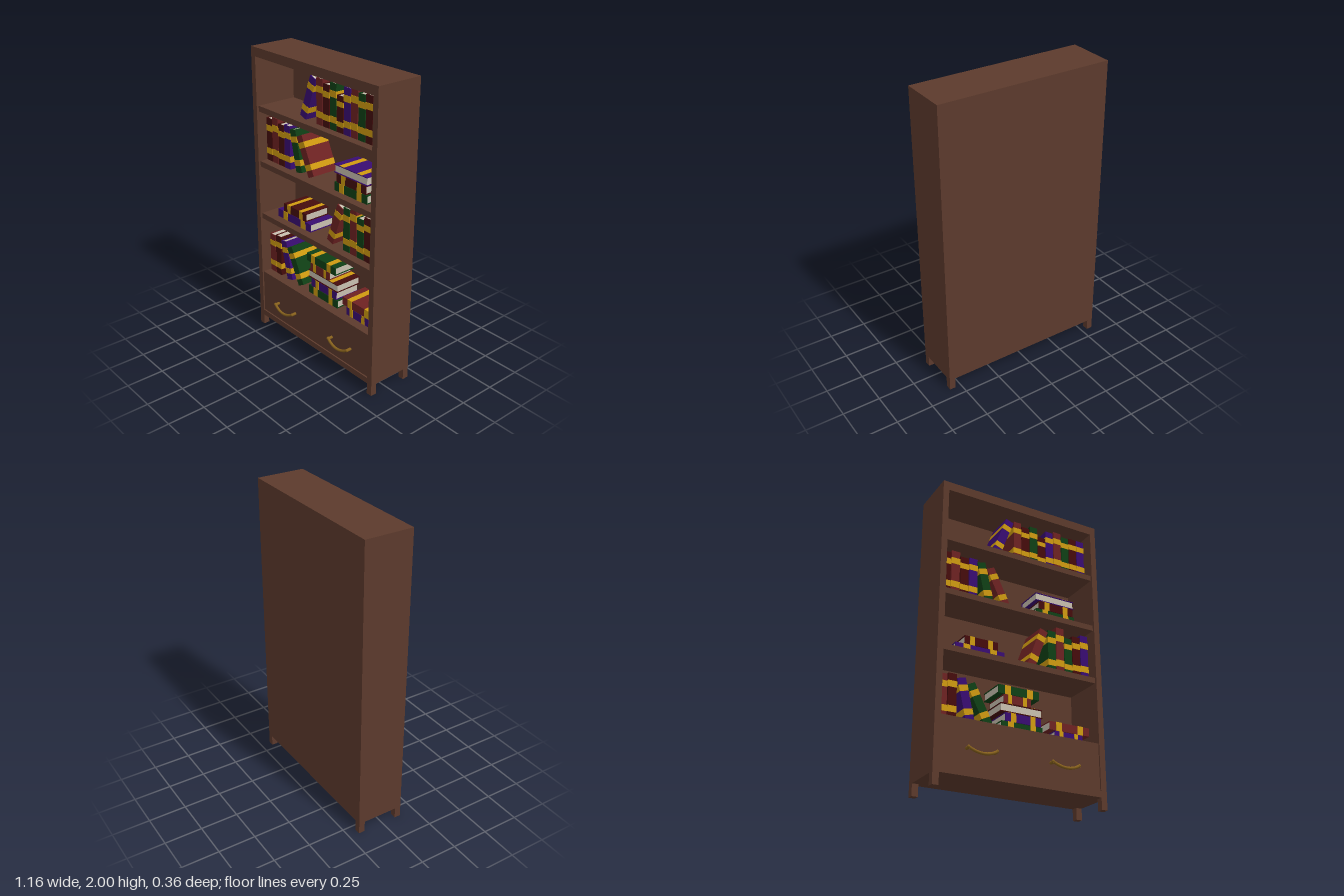
import * as THREE from 'three';
import { mergeGeometries } from 'three/addons/utils/BufferGeometryUtils.js';

const mat = (name, color, side = THREE.FrontSide) => {
  const m = new THREE.MeshStandardMaterial({ color, side });
  m.name = name;
  return m;
};

// Box geometry given by its lower and upper corners
const block = (x0, x1, y0, y1, z0, z1) =>
  new THREE.BoxGeometry(x1 - x0, y1 - y0, z1 - z0)
    .translate((x0 + x1) / 2, (y0 + y1) / 2, (z0 + z1) / 2);

export function createModel() {
  const root = new THREE.Group();
  root.name = 'bookcase';
  const M = {
    wood: mat('wood', 0x5c3a2c),
    red: mat('red cover', 0x6e2222),
    maroon: mat('maroon cover', 0x450c0c),
    green: mat('green cover', 0x0f3f15),
    purple: mat('purple cover', 0x390c72),
    gold: mat('gold band', 0xcf9a10),
    pages: mat('paper', 0xc8c0b0),
    brass: mat('brass', 0x86601c),
  };
  const add = (parent, name, geo, m) => {
    const mesh = new THREE.Mesh(geo, m);
    mesh.name = name;
    parent.add(mesh);
    return mesh;
  };

  // Case
  const W = 0.58, IN = 0.54, ZB = -0.18, ZF = 0.14;
  for (const s of [-1, 1]) {
    const a = Math.min(s * W, s * IN), b = Math.max(s * W, s * IN);
    add(root, s > 0 ? 'leftSide' : 'rightSide', block(a, b, 0.075, 2, ZB, ZF), M.wood);
    add(root, 'frontLeg', block(a, b, 0, 0.075, ZF - 0.042, ZF), M.wood);
    add(root, 'backLeg', block(a, b, 0, 0.075, ZB, ZB + 0.042), M.wood);
  }
  add(root, 'top', block(-IN, IN, 1.94, 2, ZB, ZF), M.wood);
  add(root, 'back', block(-IN, IN, 0.075, 1.94, ZB, ZB + 0.02), M.wood);
  add(root, 'bottomRail', block(-IN, IN, 0.075, 0.115, ZB + 0.02, ZF), M.wood);
  add(root, 'drawer', block(-IN, IN, 0.115, 0.42, ZB + 0.02, 0.13), M.wood);
  for (const y of [0.865, 1.24, 1.618])
    add(root, 'shelf', block(-IN, IN, y - 0.038, y, ZB + 0.02, 0.125), M.wood);

  // Drawer handles: two short posts and a drooping bow
  for (const cx of [-0.28, 0.28]) {
    const handle = new THREE.Group();
    handle.name = 'handle';
    handle.position.set(cx, 0.24, 0);
    root.add(handle);
    for (const s of [-1, 1])
      add(handle, 'handlePost', new THREE.CylinderGeometry(0.01, 0.01, 0.04, 12)
        .rotateX(Math.PI / 2).translate(s * 0.09, 0, 0.145), M.brass);
    const pts = [];
    for (let i = 0; i <= 8; i++) {
      const u = i / 4 - 1, sag = 1 - u * u;
      pts.push(new THREE.Vector3(u * 0.094, 0.003 - 0.03 * sag, 0.16 + 0.009 * sag));
    }
    add(handle, 'handleBow',
      new THREE.TubeGeometry(new THREE.CatmullRomCurve3(pts), 24, 0.009, 10), M.brass);
    for (const s of [-1, 1])
      add(handle, 'handleEnd', new THREE.SphereGeometry(0.0105, 12, 8)
        .translate(s * 0.092, 0.002, 0.161), M.brass);
  }

  // Upright book with its base centred on the origin and its spine facing +z
  function book(color, t, h, d = 0.19) {
    const g = new THREE.Group(), x = t / 2, z = d / 2, c = 0.005, e = 0.0015;
    g.name = 'book';
    add(g, 'cover', mergeGeometries([
      block(-x, -x + c, 0, h, -z, z),
      block(x - c, x, 0, h, -z, z),
      block(-x + c, x - c, 0, h, z - c, z),
    ]), M[color]);
    add(g, 'pages', block(-x + c, x - c, 0.005, h - 0.005, -z + 0.006, z - c), M.pages);
    const bands = [];
    for (const [a, b] of [[0.16, 0.3], [0.7, 0.84]])
      bands.push(
        block(-x - e, x + e, a * h, b * h, z, z + e),
        block(-x - e, -x, a * h, b * h, -z, z),
        block(x, x + e, a * h, b * h, -z, z));
    add(g, 'bands', mergeGeometries(bands), M.gold);
    return g;
  }

  const BZ = -0.025, T = 0.057, PITCH = 0.0622;
  const Y1 = 1.618, Y2 = 1.24, Y3 = 0.865, Y4 = 0.42;

  // Rows of standing books: centre of the first, shelf height, [colour, height]
  const rows = [
    [0.001, Y1, [['red', 0.287], ['maroon', 0.265], ['green', 0.287], ['maroon', 0.225],
      ['purple', 0.287], ['red', 0.302], ['green', 0.28], ['maroon', 0.287], ['purple', 0.287]]],
    [-0.507, Y2, [['maroon', 0.29], ['red', 0.307], ['maroon', 0.28], ['purple', 0.29]]],
    [0.253, Y3, [['green', 0.29], ['red', 0.325], ['green', 0.265], ['maroon', 0.29], ['purple', 0.312]]],
    [-0.504, Y4, [['red', 0.28], ['maroon', 0.29]]],
  ];
  for (const [x0, y, list] of rows)
    list.forEach(([color, h], i) => {
      const b = book(color, T, h);
      b.position.set(x0 + i * PITCH, y, BZ);
      root.add(b);
    });

  // Leaning books: colour, x of the resting corner, shelf height, length, lean to +x in degrees
  const leaning = [
    ['purple', -0.13, Y1, 0.288, 20.4],
    ['green', -0.23, Y2, 0.28, -13],
    ['red', -0.108, Y2, 0.27, -25.6],
    ['red', 0.124, Y3, 0.29, 20],
    ['purple', -0.347, Y4, 0.275, -13.5],
    ['green', -0.225, Y4, 0.267, -27],
  ];
  for (const [color, x, y, h, deg] of leaning) {
    const pivot = new THREE.Group();
    pivot.name = 'leaningBook';
    const b = book(color, T, h);
    b.position.x = -Math.sign(deg) * T / 2;
    pivot.add(b);
    pivot.position.set(x, y, BZ);
    pivot.rotation.z = -deg * Math.PI / 180;
    root.add(pivot);
  }

  // Lying stacks, bottom book first: [colour, x from, x to, pages to the front]
  const stacks = [
    [Y2, [['green', 0.14, 0.431], ['maroon', 0.161, 0.421], ['purple', 0.138, 0.429, true]]],
    [Y3, [['purple', -0.431, -0.093], ['maroon', -0.37, -0.14]]],
    [Y4, [['green', -0.114, 0.172], ['purple', -0.087, 0.161], ['maroon', -0.119, 0.172, true],
      ['red', -0.098, 0.093], ['green', -0.135, 0.151]]],
    [Y4, [['purple', 0.262, 0.463], ['red', 0.225, 0.516]]],
  ];
  for (const [y, list] of stacks)
    list.forEach(([color, a, b, flip], i) => {
      const lying = new THREE.Group(), len = b - a;
      lying.name = 'lyingBook';
      const k = book(color, 0.055, len);
      k.rotation.z = Math.PI / 2;
      k.position.x = len / 2;
      lying.add(k);
      lying.position.set((a + b) / 2, y + 0.0285 + i * 0.0575, BZ);
      if (flip) lying.rotation.y = Math.PI;
      root.add(lying);
    });

  return root;
}
